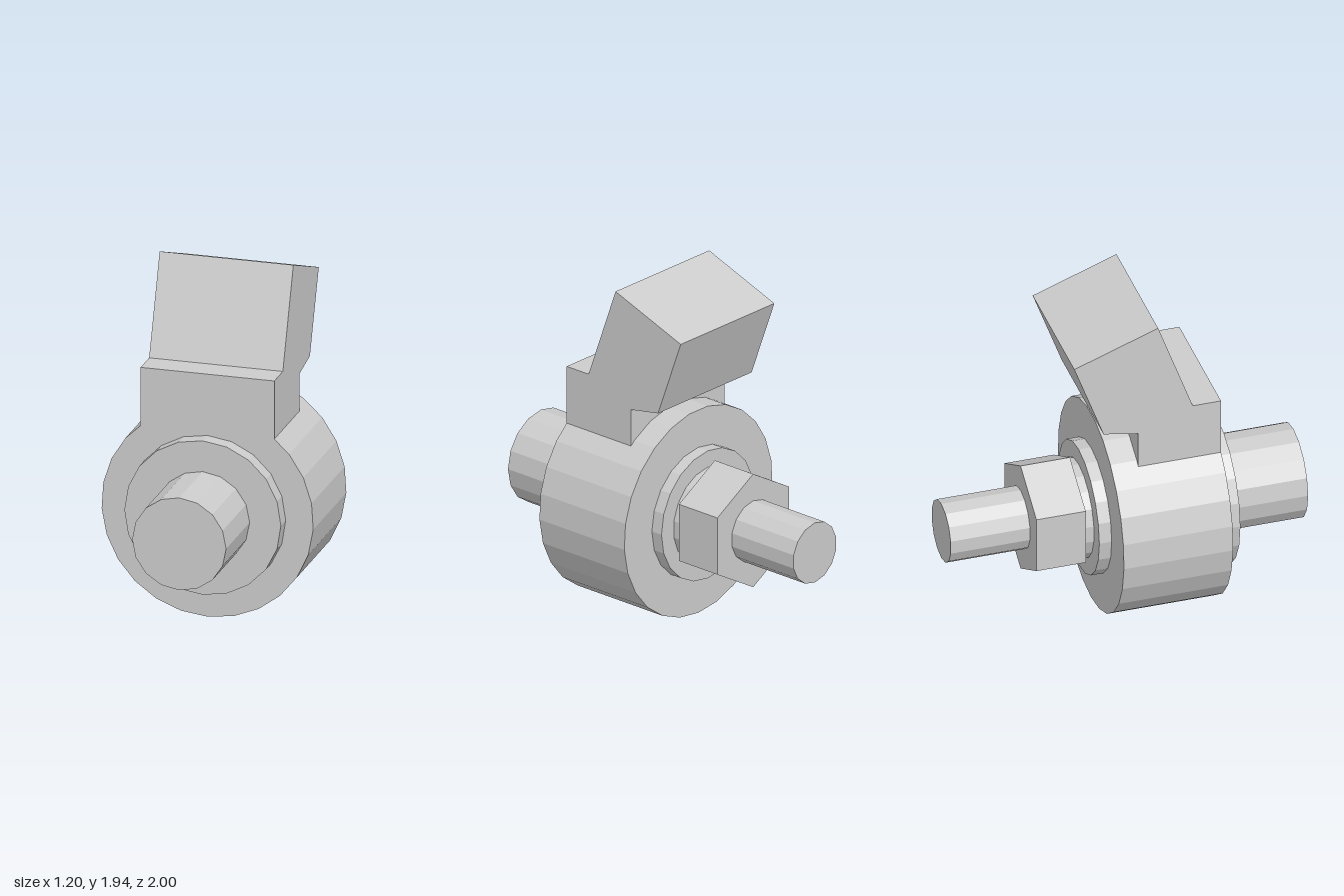
import * as THREE from 'three';

const AXIS_Y = 0.604;

export function createModel() {
  const group = new THREE.Group();
  const material = new THREE.MeshStandardMaterial({ color: 0xcccccc, flatShading: true });

  const add = (name, geometry) => {
    const mesh = new THREE.Mesh(geometry, material);
    mesh.name = name;
    group.add(mesh);
    return mesh;
  };

  // Faceted discs and rods stacked along the z axis: name, radius, back z, front z, sides
  const turnedParts = [
    ['frontShaft', 0.266, 0.56, 1, 16],
    ['frontFlange', 0.443, 0.47, 0.56, 20],
    ['ringBody', 0.6, -0.15, 0.47, 25],
    ['rearWasher', 0.376, -0.22, -0.15, 20],
    ['rearCollar', 0.28, -0.27, -0.22, 18],
    ['hexNut', 0.334, -0.55, -0.27, 6],
    ['rearShaft', 0.176, -1, -0.55, 14],
  ];
  for (const [name, radius, back, front, sides] of turnedParts) {
    const geometry = new THREE.CylinderGeometry(radius, radius, front - back, sides);
    geometry.rotateX(Math.PI / 2);
    add(name, geometry).position.set(0, AXIS_Y, (front + back) / 2);
  }

  // Bent lug rising from the ring: side profile as [z, y], extruded across x
  const profile = [
    [0.47, 1], [0.47, 1.4], [0.31, 1.4], [0.113, 1.945],
    [-0.363, 1.77], [-0.197, 1.315], [0, 1.28], [0, 1],
  ];
  const width = 0.757;
  const shape = new THREE.Shape(profile.map(([z, y]) => new THREE.Vector2(-z, y)));
  const lug = new THREE.ExtrudeGeometry(shape, { depth: width, bevelEnabled: false });
  lug.translate(0, 0, -width / 2).rotateY(Math.PI / 2);
  add('bentLug', lug);

  return group;
}
